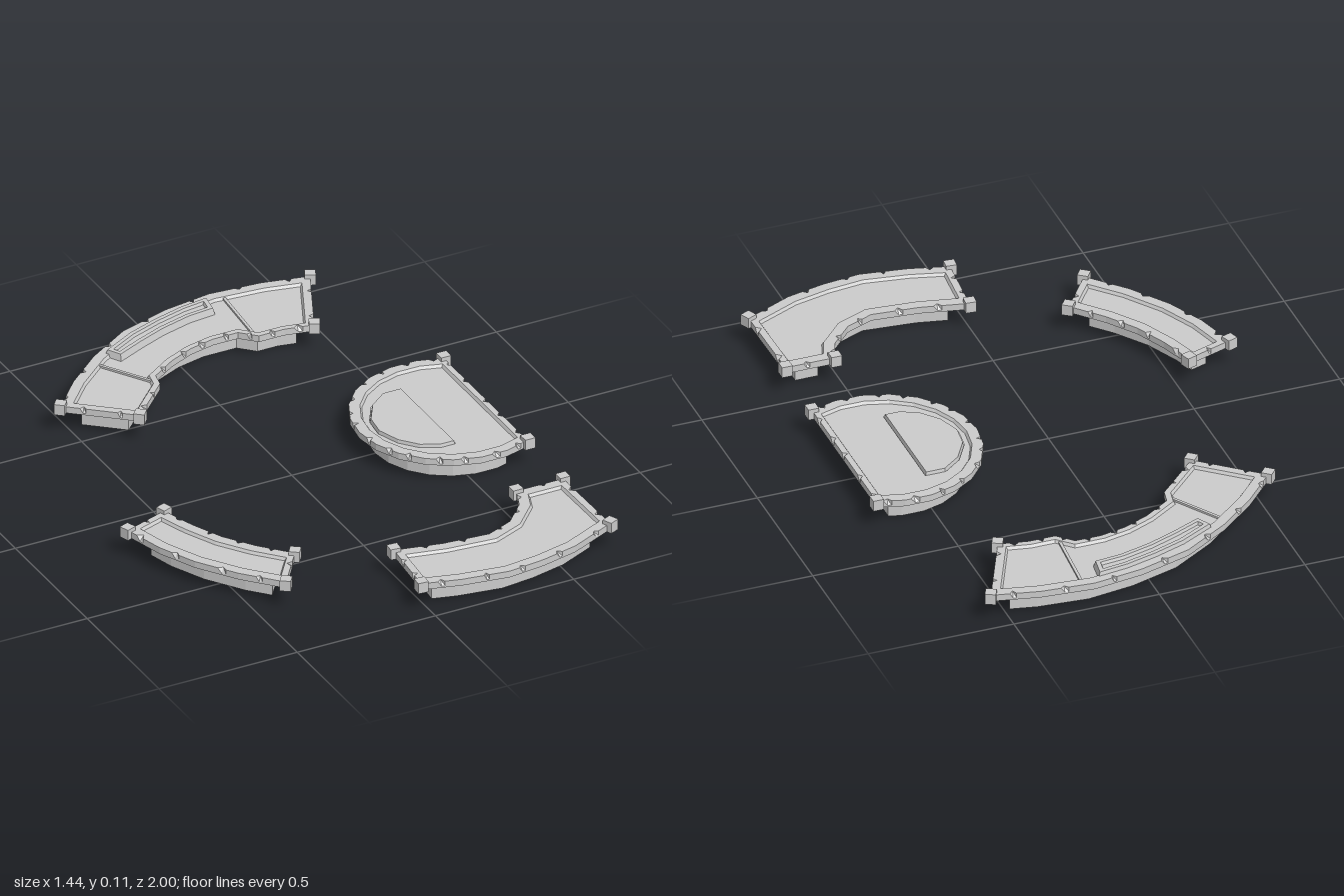
import * as THREE from 'three';

const MAT = new THREE.MeshStandardMaterial({ color: 0xcccccc, flatShading: true, side: THREE.DoubleSide });
const UNDER = 0.07, FLOOR = 0.083, RIM = 0.093, TOP = 0.106;

let seed = 7;
const rnd = () => (seed = (seed * 16807) % 2147483647) / 2147483647;

// Collects loops (lists of [x, z]) into walls and caps
class Builder {
  constructor() { this.p = []; }
  tri(...v) { v.forEach((q) => this.p.push(...q)); }
  side(a, ya, b, yb) {
    a.forEach((_, i) => {
      const j = (i + 1) % a.length;
      const A = [a[i][0], ya, a[i][1]], B = [b[i][0], yb, b[i][1]];
      const C = [b[j][0], yb, b[j][1]], D = [a[j][0], ya, a[j][1]];
      this.tri(A, B, C);
      this.tri(A, C, D);
    });
    return this;
  }
  cap(loop, y, up = true, holes = []) {
    const vec = (l) => l.map(([x, z]) => new THREE.Vector2(x, z));
    const outer = vec(loop), inner = holes.map((h) => vec(h).reverse());
    const all = [outer, ...inner].flat();
    for (const f of THREE.ShapeUtils.triangulateShape(outer, inner)) {
      const t = f.map((i) => [all[i].x, y, all[i].y]);
      this.tri(...(up ? t.reverse() : t));
    }
    return this;
  }
  mesh(name) {
    const g = new THREE.BufferGeometry();
    g.setAttribute('position', new THREE.Float32BufferAttribute(this.p, 3));
    g.computeVertexNormals();
    const m = new THREE.Mesh(g, MAT);
    m.name = name;
    return m;
  }
}

// Moves every edge of a loop inwards by its own distance
function inset(pts, dist) {
  const n = pts.length;
  const lines = pts.map((p, i) => {
    const q = pts[(i + 1) % n];
    const l = Math.hypot(q[0] - p[0], q[1] - p[1]);
    const u = [(q[0] - p[0]) / l, (q[1] - p[1]) / l];
    const d = typeof dist === 'number' ? dist : dist(i);
    return { o: [p[0] - u[1] * d, p[1] + u[0] * d], u };
  });
  return lines.map((b, i) => {
    const a = lines[(i + n - 1) % n];
    const cr = a.u[0] * b.u[1] - a.u[1] * b.u[0];
    if (Math.abs(cr) < 1e-3) return b.o;
    const t = ((b.o[0] - a.o[0]) * b.u[1] - (b.o[1] - a.o[1]) * b.u[0]) / cr;
    return [a.o[0] + a.u[0] * t, a.o[1] + a.u[1] * t];
  });
}

// Adds chips along the edges: straight at the bottom, V-shaped at the top
function chip(pts) {
  const low = [], high = [];
  pts.forEach((p, i) => {
    const q = pts[(i + 1) % pts.length];
    const dx = q[0] - p[0], dz = q[1] - p[1], l = Math.hypot(dx, dz);
    low.push(p);
    high.push(p);
    const count = l > 0.07 ? Math.max(1, Math.round(l / 0.13)) : 0;
    for (let k = 0; k < count; k++) {
      const c = (k + 0.35 + 0.3 * rnd()) / count;
      const w = (0.007 + 0.009 * rnd()) / l, depth = 0.011 + 0.006 * rnd();
      [-w, 0, w].forEach((s, m) => {
        const e = [p[0] + dx * (c + s), p[1] + dz * (c + s)];
        low.push(e);
        high.push(m === 1 ? [e[0] - (dz / l) * depth, e[1] + (dx / l) * depth] : e);
      });
    }
  });
  return [low, high];
}

function box(name, w, h, d, x, y, z, turn) {
  const m = new THREE.Mesh(new THREE.BoxGeometry(w, h, d), MAT);
  m.position.set(x, y, z);
  m.rotation.y = turn;
  m.name = name;
  return m;
}

// One platform: chipped slab with sunken panel, hollow base wall, corner posts
function platform(name, outline, margin, corners, dais) {
  const g = new THREE.Group();
  g.name = name;
  const [low, high] = chip(outline);
  const panel = inset(outline, margin), floor = inset(panel, 0.006);
  const holes = dais ? [dais] : [];
  g.add(new Builder()
    .cap(outline, UNDER, false, holes)
    .side(low, UNDER, low, 0.076)
    .side(low, 0.076, high, RIM)
    .cap(high, RIM, true, [panel])
    .side(panel, RIM, floor, FLOOR)
    .cap(floor, FLOOR, true, holes)
    .mesh('slab'));
  const wall = inset(outline, 0.055);
  g.add(new Builder().side(wall, 0, wall, UNDER).mesh('baseWall'));
  if (dais) {
    const top = inset(dais, 0.005);
    g.add(new Builder().side(dais, UNDER, top, 0.093).cap(top, 0.093).mesh('raisedDais'));
  }
  // Posts are turned to follow the edge they stand on
  corners.forEach(([i, edge]) => {
    const a = outline[edge], b = outline[(edge + 1) % outline.length];
    const turn = -Math.atan2(b[1] - a[1], b[0] - a[0]);
    const [x, z] = outline[i];
    g.add(box('cornerPost', 0.036, TOP - UNDER + 0.002, 0.036, x, (TOP + UNDER) / 2, z, turn));
  });
  return g;
}

export function createModel() {
  const model = new THREE.Group();
  model.name = 'platformSet';

  // Long curved platform at the back
  const back = [[-0.53, -0.59], [-0.42, -0.71], [-0.29, -0.82], [-0.13, -0.92], [0.05, -0.975],
    [0.22, -1.0], [0.4, -0.985], [0.56, -0.95], [0.43, -0.67], [0.33, -0.69], [0.24, -0.69],
    [0.19, -0.74], [0.1, -0.74], [0.01, -0.72], [-0.08, -0.68], [-0.17, -0.62], [-0.18, -0.57], [-0.33, -0.42]];
  const backMargin = (i) => (i < 7 ? 0.035 : i === 7 || i === 17 ? 0.028 : 0.02);
  const backPlatform = platform('backPlatform', back, backMargin, [[0, 17], [7, 7], [8, 7], [17, 17]]);

  // Raised strip along its outer edge
  const strip = [[-0.25, -0.82], [-0.13, -0.885], [-0.02, -0.925], [0.09, -0.955], [0.197, -0.97],
    [0.185, -0.89], [0.09, -0.88], [-0.02, -0.85], [-0.12, -0.81], [-0.22, -0.765]];
  const stripTop = inset(strip, 0.006), stripIn = inset(strip, 0.02), stripFloor = inset(strip, 0.024);
  backPlatform.add(new Builder()
    .side(strip, FLOOR, stripTop, TOP)
    .cap(stripTop, TOP, true, [stripIn])
    .side(stripIn, TOP, stripFloor, 0.096)
    .cap(stripFloor, 0.096)
    .mesh('raisedStrip'));

  // Low ridges between its three sections
  [[-0.30, -0.775, -0.19, -0.6], [0.255, -0.965, 0.235, -0.71]].forEach(([x0, z0, x1, z1]) => {
    backPlatform.add(box('sectionRidge', Math.hypot(x1 - x0, z1 - z0), 0.008, 0.01,
      (x0 + x1) / 2, 0.086, (z0 + z1) / 2, -Math.atan2(z1 - z0, x1 - x0)));
  });
  model.add(backPlatform);

  // Half-round platform with a raised dais
  const half = [];
  for (let i = 0; i <= 14; i++) {
    const a = 1.14 + (i / 14) * (2 * Math.PI - 2.28);
    half.push([0.567 + 0.322 * Math.cos(a), 0.322 * Math.sin(a)]);
  }
  const dais = [[0.495, -0.19], [0.495, 0.19], [0.44, 0.19], [0.38, 0.16], [0.33, 0.1],
    [0.302, 0.02], [0.312, -0.06], [0.36, -0.14], [0.425, -0.19]];
  model.add(platform('halfRoundPlatform', half, (i) => (i === 14 ? 0.02 : 0.036), [[0, 14], [14, 14]], dais));

  // Small curved platform on the right
  const small = [[-0.70, 0.205], [-0.54, 0.15], [-0.5, 0.27], [-0.45, 0.38], [-0.38, 0.48],
    [-0.29, 0.58], [-0.4, 0.73], [-0.51, 0.61], [-0.6, 0.48], [-0.66, 0.35]];
  model.add(platform('smallPlatform', small, (i) => (i === 0 || i === 5 ? 0.022 : 0.036),
    [[0, 0], [1, 0], [5, 5], [6, 5]]));

  // Bent platform at the front
  const front = [[0, 0.71], [0.16, 0.745], [0.32, 0.76], [0.415, 0.72], [0.49, 0.64], [0.52, 0.56],
    [0.69, 0.56], [0.695, 0.88], [0.53, 0.955], [0.4, 0.985], [0.27, 1.0], [0.11, 0.975], [-0.02, 0.94]];
  model.add(platform('frontPlatform', front, (i) => (i === 12 || i === 6 ? 0.024 : 0.036),
    [[0, 12], [5, 5], [6, 5], [7, 7], [12, 12]]));

  return model;
}
